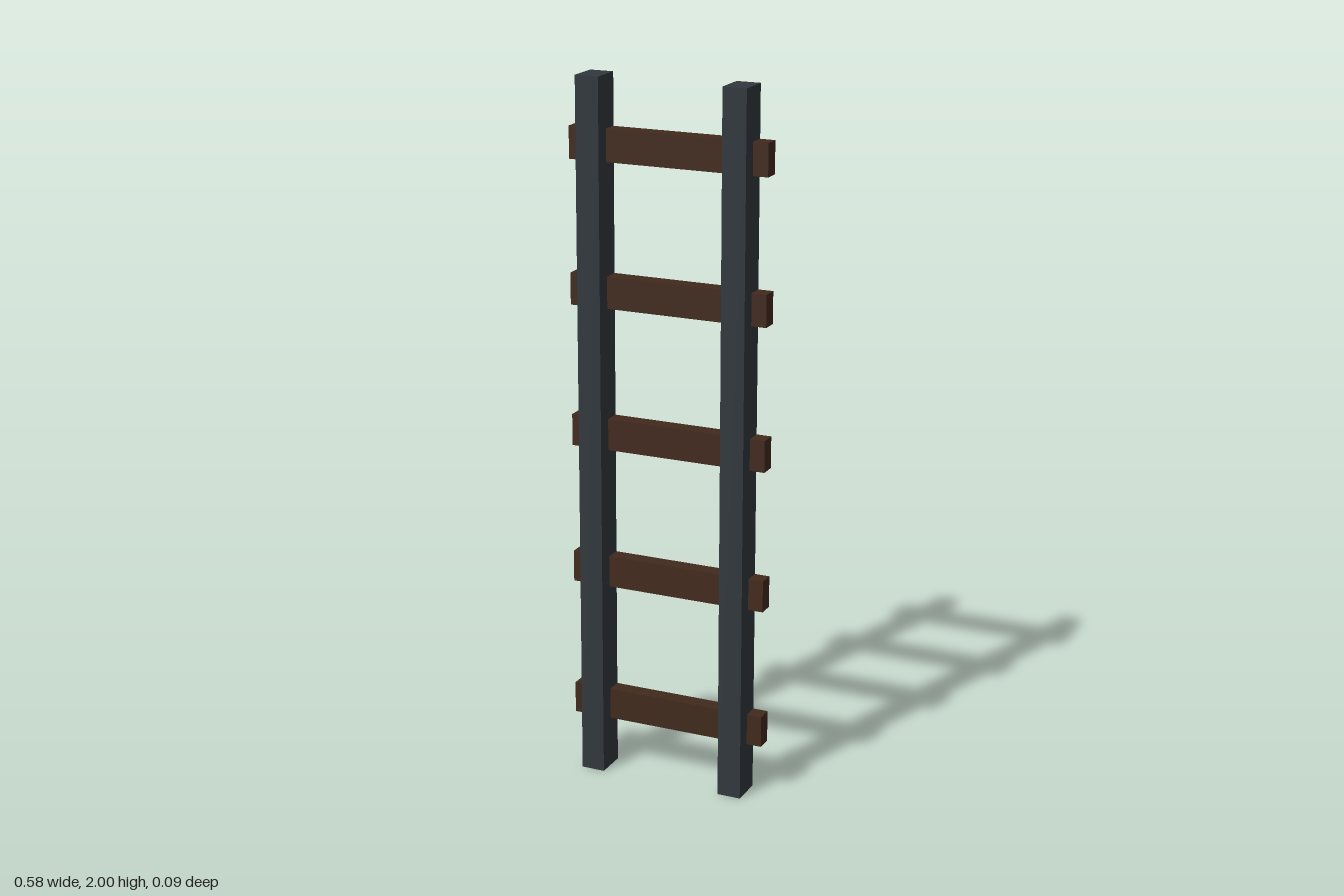
import * as THREE from 'three';

export function createModel() {
  const ladder = new THREE.Group();
  ladder.name = 'ladder';
  const railMaterial = new THREE.MeshStandardMaterial({ color: 0x32383e });
  const rungMaterial = new THREE.MeshStandardMaterial({ color: 0x422a1d });

  const addBar = (name, size, position, material) => {
    const bar = new THREE.Mesh(new THREE.BoxGeometry(...size), material);
    bar.name = name;
    bar.position.set(...position);
    ladder.add(bar);
  };

  // Two upright rails
  for (const side of [-1, 1]) {
    addBar(side > 0 ? 'leftRail' : 'rightRail', [0.068, 2, 0.092], [side * 0.212, 1, 0], railMaterial);
  }

  // Five rungs let into the back half of the rails, almost flush with their rear faces
  const rungCount = 5;
  for (let i = 0; i < rungCount; i++) {
    addBar(`rung${i + 1}`, [0.578, 0.09, 0.046], [0, 0.193 + i * 0.404, -0.0225], rungMaterial);
  }

  return ladder;
}
